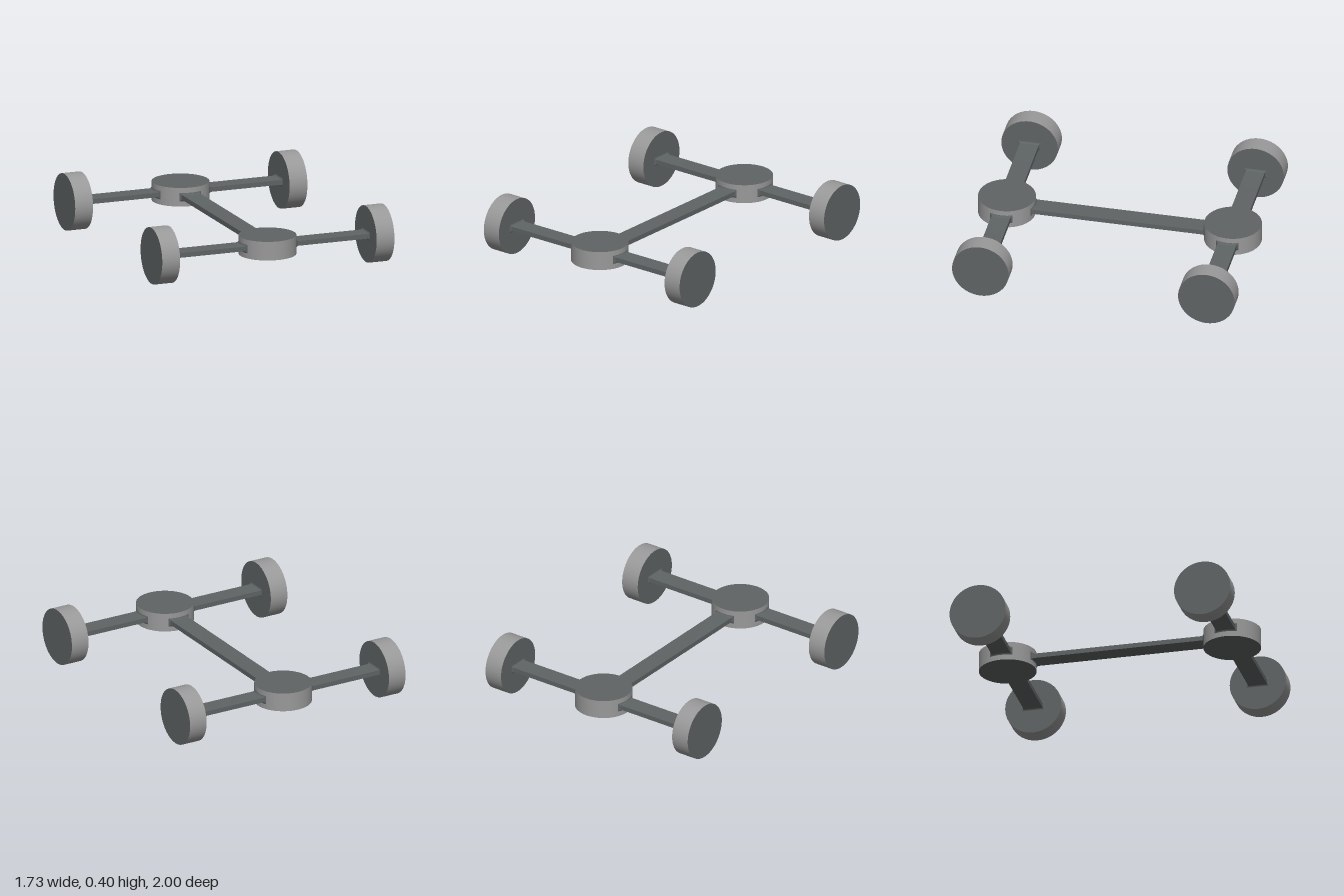
import * as THREE from 'three';

const R = 0.2, DEPTH = 0.1333;          // disc radius and thickness
const BAR_W = 0.1333, BAR_T = 0.0333;   // bar width and thickness
const FILLET = 0.0135;
const AXLE_Z = 0.8, WHEEL_X = 0.8;

const dark = new THREE.MeshStandardMaterial({ color: 0x5f6464 });
dark.name = 'dark grey';
const light = new THREE.MeshStandardMaterial({ color: 0x999999 });
light.name = 'light grey';

// Disc with a light rim and dark end faces
function disc(name) {
  const mesh = new THREE.Mesh(new THREE.CylinderGeometry(R, R, DEPTH, 64), [light, dark, dark]);
  mesh.name = name;
  return mesh;
}

// Flat bar along x; its ends flare in a fillet and can wrap a round hub centred on that end
function barGeometry(start, end, roundStart, roundEnd) {
  const steps = [0, 0.15, 0.4, 1].map((f) => f * FILLET);
  const n = steps.length;
  const geo = new THREE.BoxGeometry(1, 1, 1, 2 * n - 1, 1, 10);
  const p = geo.attributes.position;
  for (let i = 0; i < p.count; i++) {
    const k = Math.round((p.getX(i) + 0.5) * (2 * n - 1));
    const atStart = k < n;
    const d = atStart ? steps[k] : steps[2 * n - 1 - k];
    const flare = FILLET - Math.sqrt(Math.max(0, FILLET ** 2 - (FILLET - d) ** 2));
    const z = p.getZ(i) * (BAR_W + 2 * flare);
    const reach = d + ((atStart ? roundStart : roundEnd) ? Math.sqrt(R * R - z * z) : 0);
    p.setXYZ(i, atStart ? start + reach : end - reach, p.getY(i) * (BAR_T + 2 * flare), z);
  }
  geo.computeVertexNormals();
  return geo;
}

export function createModel() {
  const model = new THREE.Group();
  model.name = 'wheeledChassis';
  const axleGeo = barGeometry(0, WHEEL_X - DEPTH / 2, true, false);

  for (const [end, z] of [['front', AXLE_Z], ['rear', -AXLE_Z]]) {
    // Round hub on the centre line
    const hub = disc(end + 'Hub');
    hub.position.set(0, R, z);
    model.add(hub);

    // Half axles and wheels on both sides
    for (const [side, s] of [['Left', 1], ['Right', -1]]) {
      const axle = new THREE.Mesh(axleGeo, dark);
      axle.name = end + side + 'Axle';
      axle.rotation.y = s > 0 ? 0 : Math.PI;
      axle.position.set(0, R, z);
      const wheel = disc(end + side + 'Wheel');
      wheel.rotation.z = Math.PI / 2;
      wheel.position.set(s * WHEEL_X, R, z);
      model.add(axle, wheel);
    }
  }

  // Long spine joining the hubs
  const spine = new THREE.Mesh(barGeometry(-AXLE_Z, AXLE_Z, true, true), dark);
  spine.name = 'spine';
  spine.rotation.y = Math.PI / 2;
  spine.position.y = R;
  model.add(spine);
  return model;
}
